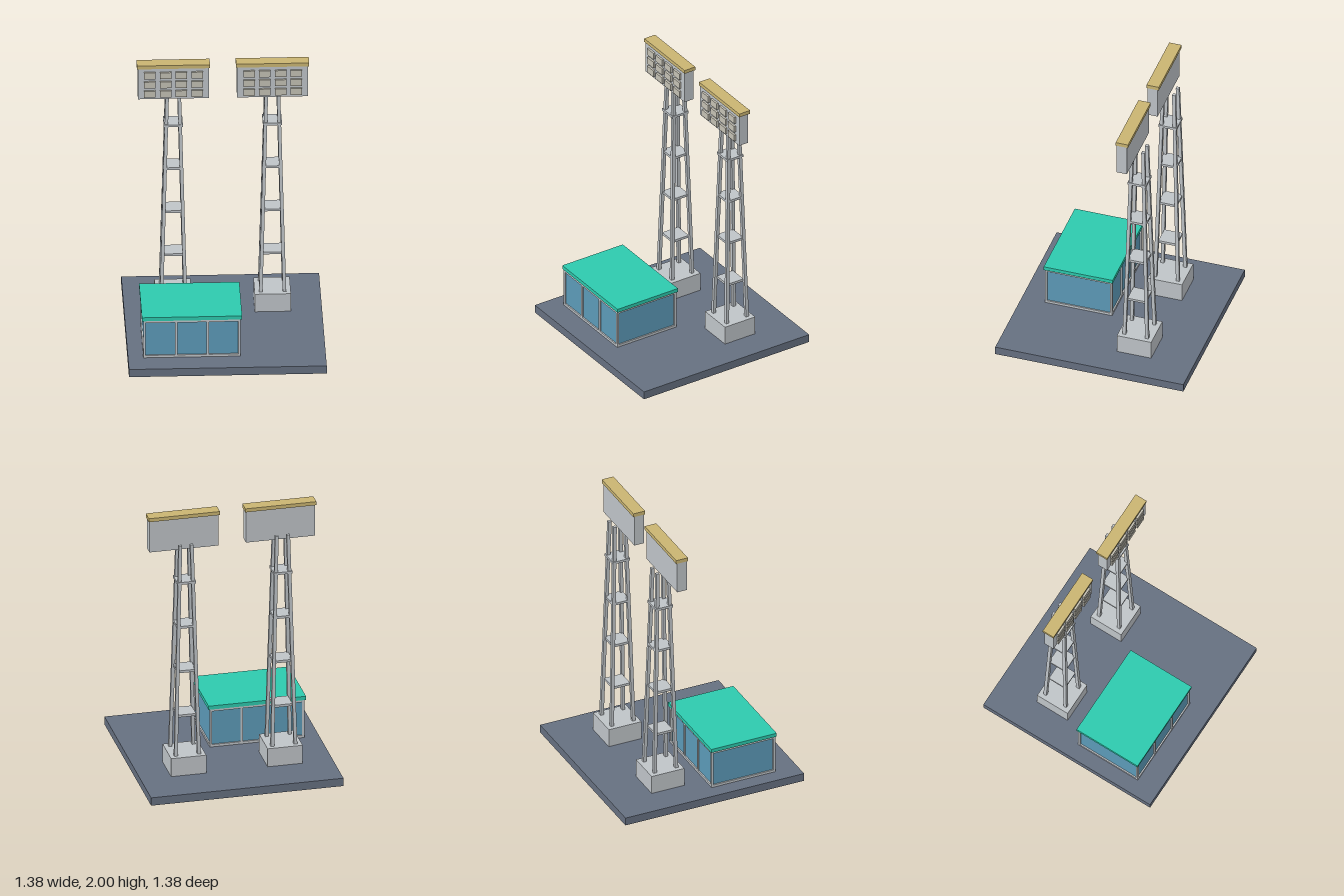
import * as THREE from 'three';

const mat = (name, color) => {
  const m = new THREE.MeshStandardMaterial({ color });
  m.name = name;
  return m;
};

export function createModel() {
  const slate = mat('slate', 0x667080);
  const steel = mat('steel', 0xbfc4c8);
  const ochre = mat('ochre', 0xcab572);
  const lampGrey = mat('lampGrey', 0xc4c1b4);
  const teal = mat('teal', 0x2dcaae);
  const glass = mat('glass', 0x5c9ab8);

  // box given by its limits along each axis
  const box = (parent, name, material, [x0, x1], [y0, y1], [z0, z1]) => {
    const mesh = new THREE.Mesh(new THREE.BoxGeometry(x1 - x0, y1 - y0, z1 - z0), material);
    mesh.position.set((x0 + x1) / 2, (y0 + y1) / 2, (z0 + z1) / 2);
    mesh.name = name;
    parent.add(mesh);
    return mesh;
  };
  const around = (c, size) => [c - size / 2, c + size / 2];

  const model = new THREE.Group();
  model.name = 'floodlitStation';
  box(model, 'basePlate', slate, [-0.69, 0.69], [0, 0.06], [-0.69, 0.69]);

  // floodlight towers
  const legBottom = 0.19, legTop = 1.79;
  for (const x of [-0.346, 0.346]) {
    const tower = new THREE.Group();
    tower.name = 'floodlightTower';
    tower.position.set(x, 0, -0.257);
    model.add(tower);
    box(tower, 'foundation', steel, around(0, 0.252), [0.06, 0.198], around(0, 0.252));

    // four legs leaning inwards
    for (const sx of [-1, 1]) for (const sz of [-1, 1]) {
      const leg = box(tower, 'leg', steel, around(0, 0.024), [legBottom, legTop], around(0, 0.024));
      const p = leg.geometry.attributes.position;
      for (let i = 0; i < p.count; i++) {
        const offset = p.getY(i) > 0 ? 0.041 : 0.083;
        p.setX(i, p.getX(i) + sx * offset);
        p.setZ(i, p.getZ(i) + sz * offset);
      }
      leg.geometry.computeVertexNormals();
    }
    for (const y of [0.49, 0.83, 1.17, 1.508])
      box(tower, 'platform', steel, around(0, 0.134), around(y, 0.018), around(0, 0.134));

    // lamp panel with its cap
    box(tower, 'lampPanel', steel, around(0, 0.495), [1.735, 1.975], [0.013, 0.087]);
    box(tower, 'panelCap', ochre, around(0, 0.51), [1.973, 2], [0.002, 0.092]);
    for (let row = 0; row < 3; row++) for (let col = 0; col < 4; col++)
      box(tower, 'lamp', lampGrey, around((col - 1.5) * 0.11, 0.08),
        around(1.779 + row * 0.072, 0.05), [0.08, 0.102]);
  }

  // glazed cabin
  const cabin = new THREE.Group();
  cabin.name = 'cabin';
  model.add(cabin);
  const [x0, x1, z0, z1] = [-0.583, 0.095, 0.027, 0.52];
  const rail = 0.016;
  box(cabin, 'glazing', glass, [x0 + 0.01, x1 - 0.01], [0.06, 0.35], [z0 + 0.01, z1 - 0.01]);
  box(cabin, 'roof', teal, [-0.593, 0.106], [0.351, 0.379], [0.02, 0.525]);
  for (const y of [[0.06, 0.078], [0.333, 0.352]]) {
    for (const z of [z0, z1 - rail]) box(cabin, 'longRail', steel, [x0, x1], y, [z, z + rail]);
    for (const x of [x0, x1 - rail])
      box(cabin, 'sideRail', steel, [x, x + rail], y, [z0 + rail, z1 - rail]);
  }
  for (const z of [z0, z1 - rail]) for (let i = 0; i < 4; i++) {
    const x = x0 + (i / 3) * (x1 - x0 - rail);
    box(cabin, i % 3 ? 'mullion' : 'cornerPost', steel, [x, x + rail], [0.078, 0.333], [z, z + rail]);
  }
  return model;
}
